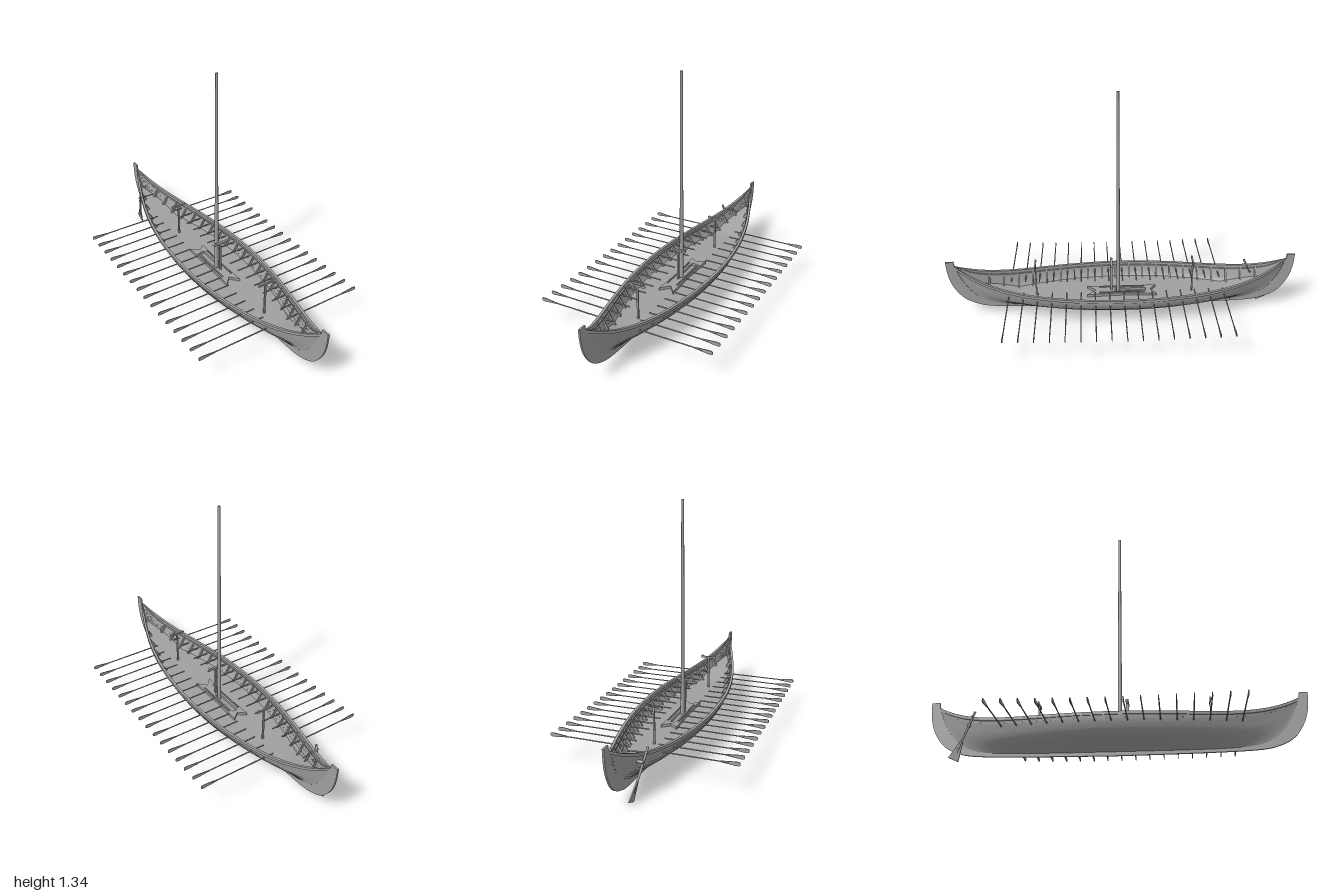
import * as THREE from 'three';
import { toCreasedNormals } from 'three/addons/utils/BufferGeometryUtils.js';

const V = (x, y, z) => new THREE.Vector3(x, y, z);
const wood = new THREE.MeshStandardMaterial({ color: 0xa0a0a0, side: THREE.DoubleSide });
wood.name = 'grey wood';

function add(parent, name, geometry) {
  const mesh = new THREE.Mesh(geometry, wood);
  mesh.name = name;
  parent.add(mesh);
  return mesh;
}

// Skin a list of equally long cross-sections; closed joins each ring and caps both ends
function loft(sections, closed = false, crease = 0.5) {
  const n = sections[0].length, pos = [], idx = [];
  sections.forEach(s => s.forEach(p => pos.push(p.x, p.y, p.z)));
  for (let i = 0; i < sections.length - 1; i++) {
    for (let j = 0; j < (closed ? n : n - 1); j++) {
      const k = (j + 1) % n, a = i * n + j, b = i * n + k;
      idx.push(a, b, a + n, b, b + n, a + n);
    }
  }
  if (closed) {
    const e = (sections.length - 1) * n;
    for (let j = 1; j < n - 1; j++) idx.push(0, j + 1, j, e, e + j, e + j + 1);
  }
  const g = new THREE.BufferGeometry();
  g.setAttribute('position', new THREE.Float32BufferAttribute(pos, 3));
  g.setIndex(idx);
  return toCreasedNormals(g, crease);
}

// Tapered round pole between two points
function rod(a, b, ra, rb, sides = 8) {
  const d = b.clone().sub(a);
  const g = new THREE.CylinderGeometry(rb, ra, d.length(), sides);
  g.applyQuaternion(new THREE.Quaternion().setFromUnitVectors(V(0, 1, 0), d.clone().normalize()));
  return g.translate((a.x + b.x) / 2, (a.y + b.y) / 2, (a.z + b.z) / 2);
}

// Hull lines: half width, sheer height, keel height and deck height along z
const END = 0.95;
const width = z => 0.004 + 0.207 * (1 - (z / END) ** 2);
const sheer = z => 0.192 + 0.12 * Math.abs(z / END) ** 5;
const keel = z => 0.048 + 0.255 * Math.abs(z / END) ** 11;
const deckY = z => 0.115 + 0.3 * Math.max(0, Math.abs(z) - 0.6);
const midSection = new THREE.SplineCurve([[0, 0], [0.1, 0.04], [0.28, 0.12], [0.47, 0.2], [0.65, 0.29],
  [0.82, 0.45], [0.92, 0.66], [0.97, 0.82], [1, 1]].map(p => new THREE.Vector2(...p)));

// Point on the hull: t runs from keel to gunwale, full amidships and hollow at the ends
function hullPoint(z, t, side = 1) {
  const m = midSection.getPoint(t), b = Math.abs(z / END) ** 2.5;
  const x = THREE.MathUtils.lerp(m.x, t ** 1.4, b), y = THREE.MathUtils.lerp(m.y, t, b);
  return V(side * width(z) * x, keel(z) + (sheer(z) - keel(z)) * y, z);
}

function tAtHeight(z, y) {
  let lo = 0, hi = 1;
  for (let i = 0; i < 20; i++) {
    const t = (lo + hi) / 2;
    if (hullPoint(z, t).y < y) lo = t; else hi = t;
  }
  return lo;
}

const stations = (from, to, n) => Array.from({ length: n + 1 }, (_, i) => from + (to - from) * i / n);

function buildHull(ship) {
  const STRAKES = 12, zs = stations(-END, END, 80);
  for (const side of [1, -1]) {
    // Overlapping planks, each lower edge standing proud of the one below
    add(ship, 'planking', loft(zs.map(z => {
      const lap = 0.003 * Math.min(1, width(z) / 0.06), ring = [];
      for (let i = 0; i < STRAKES; i++) {
        for (const f of [0, 0.5, 1]) {
          const p = hullPoint(z, (i + f) / STRAKES, side);
          if (i > 0) p.add(V(side * lap * (1 - f) * 0.7, -lap * (1 - f) * 0.7, 0));
          ring.push(p);
        }
      }
      return ring;
    })));
    // Rail capping the gunwale and a stringer below it
    const strip = (name, t, inner, outer, low, high) => add(ship, name, loft(zs.map(z => {
      const p = hullPoint(z, t, side), s = Math.min(1, width(z) / 0.04);
      return [[inner, low], [outer, low], [outer, high], [inner, high]]
        .map(([x, y]) => V(p.x + side * x * s, p.y + y, z));
    }), true));
    strip('gunwale', 1, -0.01, 0.005, -0.012, 0.004);
    strip('stringer', 0.9, -0.009, 0, -0.004, 0.004);
    // Side ribs standing on the deck between the rowers
    for (const z of stations(-0.79, 0.77, 19)) {
      const t0 = tAtHeight(z, deckY(z));
      add(ship, 'rib', loft(stations(t0, 0.97, 5).map((t, i) => {
        const depth = side * (0.018 - 0.002 * i);
        const a = hullPoint(z - 0.004, t, side), b = hullPoint(z + 0.004, t, side);
        return [a, V(a.x - depth, a.y, a.z), V(b.x - depth, b.y, b.z), b];
      }), true));
    }
  }
  // Deck, rising towards both ends
  add(ship, 'deck', loft(stations(-0.89, 0.89, 60).map(z => {
    const y = deckY(z), x = hullPoint(z, tAtHeight(z, y)).x;
    return [V(-x, y, z), V(0, y, z), V(x, y, z)];
  })));
  // Keel and both stem posts in one upright plank
  const outer = new THREE.SplineCurve([[0, 0.028], [0.46, 0.033], [0.727, 0.042], [0.834, 0.062], [0.914, 0.105],
    [0.968, 0.18], [0.993, 0.26], [1, 0.345]].map(p => new THREE.Vector2(...p))).getPoints(40);
  const inner = stations(END, 0, 40).map(z => new THREE.Vector2(z, keel(z) + 0.008));
  const half = [...outer, new THREE.Vector2(0.955, 0.345), ...inner.slice(0, -1)];
  for (const s of [1, -1]) {
    const shape = new THREE.Shape([...half, new THREE.Vector2(0, 0.056)].map(p => new THREE.Vector2(p.x * s, p.y)));
    const g = new THREE.ExtrudeGeometry(shape, { depth: 0.01, bevelEnabled: false });
    g.translate(0, 0, -0.005).rotateY(-Math.PI / 2);
    add(ship, s > 0 ? 'bowStemAndKeel' : 'sternStemAndKeel', toCreasedNormals(g, 0.5));
  }
}

function buildOars(ship) {
  for (const z of stations(-0.58, 0.645, 15)) {
    const y = 0.154 + 0.012 * (z / 0.65) ** 2;
    for (const s of [1, -1]) {
      const oar = new THREE.Group();
      oar.name = 'oar';
      add(oar, 'oarShaft', rod(V(s * 0.06, y, z), V(s * 0.45, y, z), 0.004, 0.003));
      // Thin upright blade
      add(oar, 'oarBlade', loft([[0.41, 0.003], [0.45, 0.007], [0.49, 0.011], [0.505, 0.01], [0.51, 0.006]]
        .map(([x, h]) => [[-h, -1], [h, -1], [h, 1], [-h, 1]].map(([dy, dz]) => V(s * x, y + dy, z + dz * 0.002))), true));
      ship.add(oar);
    }
  }
}

function buildMast(ship) {
  add(ship, 'mast', rod(V(0, 0.06, 0.02), V(0, 1.335, 0.02), 0.0115, 0.0075, 16));
  // Swallow-tailed block on the deck with an open mast slot
  const outline = [[-0.045, -0.2], [0, -0.165], [0.045, -0.2], [0.036, 0], [0.045, 0.2], [0, 0.15], [-0.045, 0.2], [-0.036, 0]];
  const shape = new THREE.Shape(outline.map(p => new THREE.Vector2(...p)));
  shape.holes.push(new THREE.Path([[-0.015, -0.14], [-0.015, 0.04], [0.015, 0.04], [0.015, -0.14]]
    .map(p => new THREE.Vector2(...p))));
  const g = new THREE.ExtrudeGeometry(shape, { depth: 0.016, bevelEnabled: false });
  add(ship, 'mastBlock', g.rotateX(Math.PI / 2).translate(0, 0.131, 0));
  for (const s of [1, -1]) {
    add(ship, 'mastBlockRail', new THREE.BoxGeometry(0.006, 0.008, 0.26).translate(s * 0.03, 0.134, 0));
  }
}

// T-shaped rests with rounded ends
function buildRests(ship) {
  for (const [z, depth] of [[0.495, 0.008], [0.06, 0.014], [-0.41, 0.008]]) {
    const rest = new THREE.Group();
    rest.name = 'sparRest';
    add(rest, 'restPost', new THREE.BoxGeometry(0.01, 0.2, depth).translate(0, 0.213, z));
    add(rest, 'restBar', new THREE.BoxGeometry(0.08, 0.01, depth).translate(0, 0.313, z));
    for (const s of [1, -1]) {
      add(rest, 'restEnd', new THREE.CylinderGeometry(0.009, 0.009, depth, 12)
        .rotateX(Math.PI / 2).translate(s * 0.039, 0.315, z));
    }
    ship.add(rest);
  }
}

// Steering oar on the right side of the stern
function buildSteeringOar(ship) {
  const oar = new THREE.Group();
  oar.name = 'steeringOar';
  add(oar, 'steeringShaft', rod(V(-0.1, 0.255, -0.73), V(-0.063, 0.05, -0.82), 0.006, 0.006));
  add(oar, 'steeringBlade', loft([[-0.073, 0.105, -0.796, 0.008], [-0.065, 0.062, -0.815, 0.018], [-0.056, 0.012, -0.837, 0.03]]
    .map(([x, y, z, c]) => [[-1, -1], [1, -1], [1, 1], [-1, 1]]
      .map(([u, v]) => V(x + v * 0.003, y + u * c * 0.4, z - u * c * 0.916))), true));
  add(oar, 'tiller', rod(V(-0.105, 0.232, -0.742), V(0, 0.225, -0.745), 0.005, 0.003));
  add(oar, 'steeringBracket', rod(V(-0.09, 0.19, -0.765), V(-0.055, 0.19, -0.765), 0.008, 0.008));
  ship.add(oar);
}

export function createModel() {
  const ship = new THREE.Group();
  ship.name = 'longship';
  buildHull(ship);
  buildOars(ship);
  buildMast(ship);
  buildRests(ship);
  buildSteeringOar(ship);
  return ship;
}
